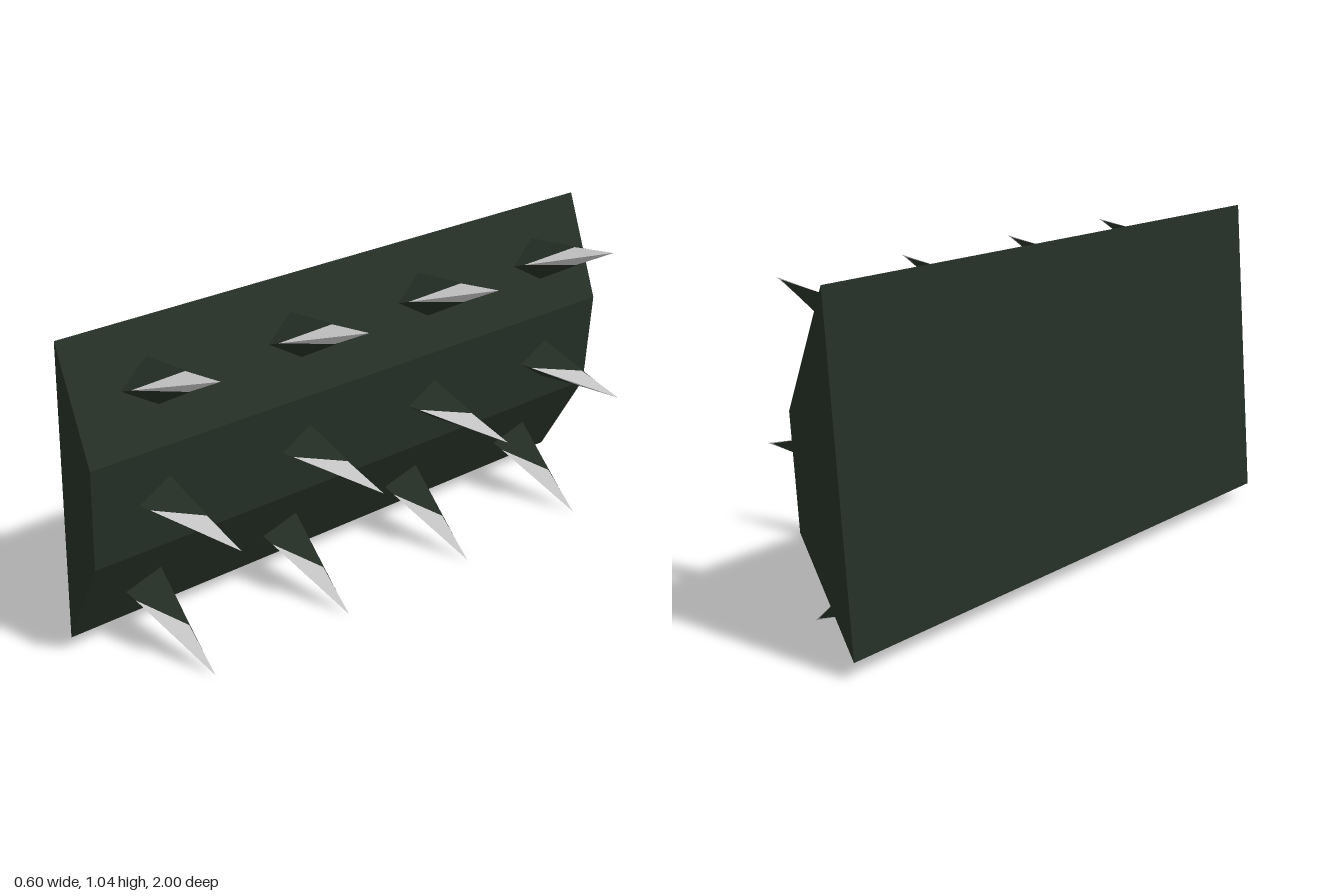
import * as THREE from 'three';
import { ConvexGeometry } from 'three/addons/geometries/ConvexGeometry.js';

// Faceted outline of the plate in x, y, from the bottom edge to the top edge
const profile = [[-0.27, 0.058], [-0.085, 0.375], [-0.06, 0.7], [-0.19, 1.043]];
const halfLength = 0.997;

// x of the faceted face at height y
function faceX(y) {
  let i = 0;
  while (i < 2 && y > profile[i + 1][1]) i++;
  const [x0, y0] = profile[i], [x1, y1] = profile[i + 1];
  return x0 + (x1 - x0) * (y - y0) / (y1 - y0);
}

// Heights of the upper, ridge and lower base corners, then the tip
const rows = [
  { name: 'upper', base: [0.94, 0.87, 0.808], tip: [0.213, 0.988] },
  { name: 'middle', base: [0.6, 0.535, 0.463], tip: [0.275, 0.504] },
  { name: 'lower', base: [0.26, 0.195, 0.128], tip: [0.108, 0.006] },
];

export function createModel() {
  const green = new THREE.MeshStandardMaterial({ color: 0x253026 });
  green.name = 'darkGreen';
  const silver = new THREE.MeshStandardMaterial({ color: 0xd0d0d0 });
  silver.name = 'silver';

  const model = new THREE.Group();
  model.name = 'spikedPlate';
  const body = new THREE.Group();
  body.name = 'body';
  body.rotation.y = -0.03; // slight turn of the whole piece
  model.add(body);

  const add = (parent, name, geometry, material) => {
    const mesh = new THREE.Mesh(geometry, material);
    mesh.name = name;
    parent.add(mesh);
  };

  // Plate: a faceted front with one flat back
  const shape = new THREE.Shape(profile.map(([x, y]) => new THREE.Vector2(x, y)));
  const plate = new THREE.ExtrudeGeometry(shape, { depth: 2 * halfLength, bevelEnabled: false });
  plate.translate(0, 0, 0.004 - halfLength);
  add(body, 'plate', plate, green);

  // Spikes: three-sided, flat towards the rear, with a bright core at the ridge and tip
  for (const row of rows) {
    const [up, ridge, low] = row.base;
    for (let i = 0; i < 4; i++) {
      const z = 0.745 - 0.504 * i;
      const corner = (y, dz) => new THREE.Vector3(faceX(y) - 0.005, y, z + dz);
      const a = corner(up, 0), b = corner(ridge, 0.104), c = corner(low, 0);
      const tip = new THREE.Vector3(row.tip[0], row.tip[1], z);
      const middle = a.clone().add(b).add(c).divideScalar(3);
      const spike = new THREE.Group();
      spike.name = row.name + 'Spike';
      body.add(spike);

      const darkTip = middle.clone().lerp(tip, 0.95).setZ(z);
      add(spike, 'spikeShell', new ConvexGeometry([a, b, c, darkTip]), green);

      // The core sits just inside the shell and breaks through towards the tip
      const inner = [a, c].map((p) => p.clone().lerp(b, 0.1).setZ(z + 0.004));
      const ridgePoint = b.clone().lerp(middle, 0.01);
      add(spike, 'spikeCore', new ConvexGeometry([...inner, ridgePoint, tip]), silver);
    }
  }
  return model;
}
